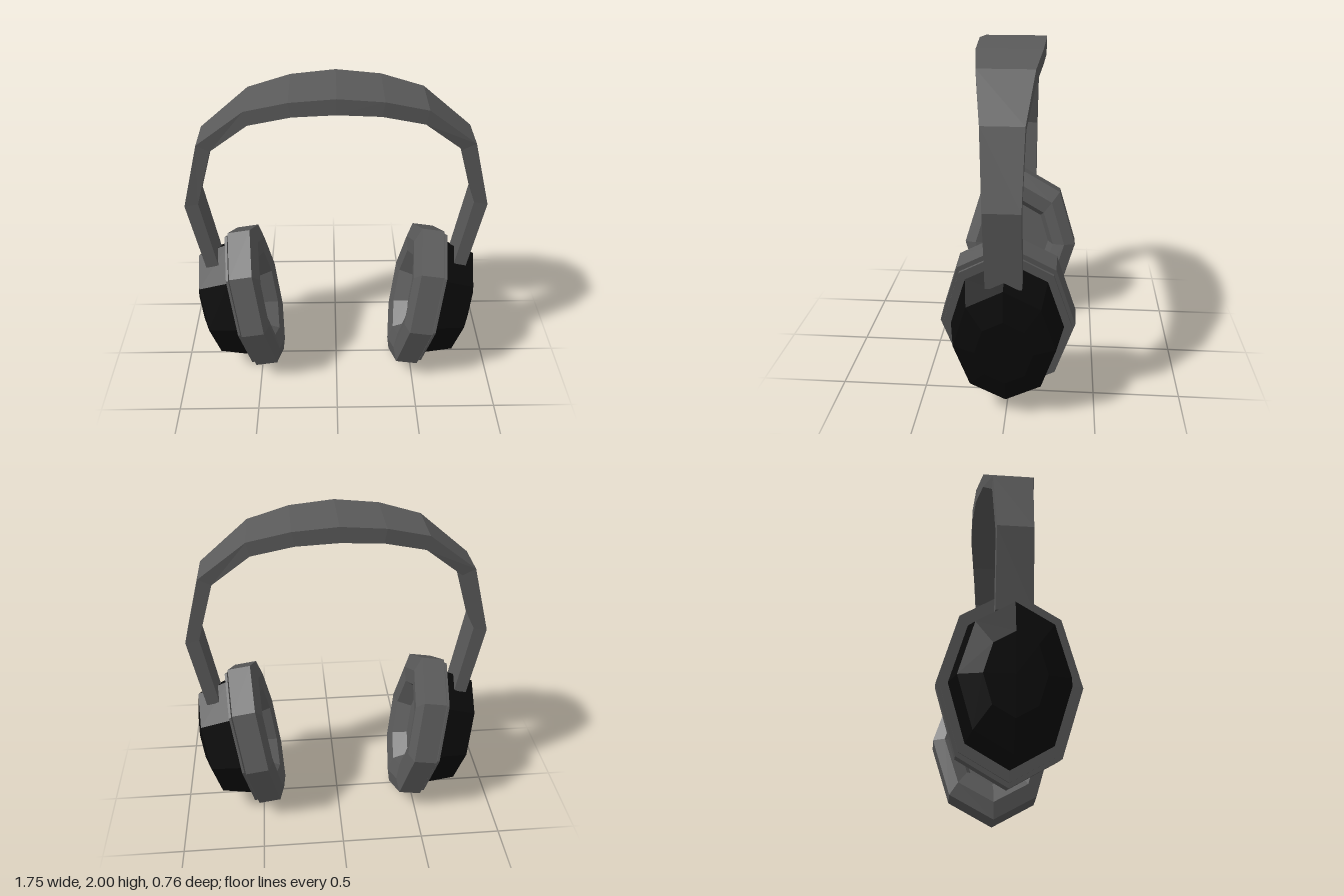
import * as THREE from 'three';

const grey = new THREE.MeshStandardMaterial({ color: 0x5a5a5a, flatShading: true });
const black = new THREE.MeshStandardMaterial({ color: 0x0a0a0a, flatShading: true });

// Eight-sided oval turned around the x axis; profile holds [radius, distance outward]
function ovalPart(name, profile, material) {
  const geometry = new THREE.LatheGeometry(profile.map(([r, d]) => new THREE.Vector2(r, d)), 8);
  geometry.rotateZ(-Math.PI / 2);
  geometry.scale(1, 1, 0.737);
  const mesh = new THREE.Mesh(geometry, material);
  mesh.name = name;
  return mesh;
}

// Ear cup facing outward along +x, tilted inward at the bottom
function earCup(name) {
  const cup = new THREE.Group();
  cup.name = name;
  cup.add(
    ovalPart('cushion', [[0, -0.06], [0.26, -0.06], [0.31, -0.15], [0.415, -0.166],
      [0.515, -0.137], [0.515, 0], [0, 0]], grey),
    ovalPart('backPlate', [[0, 0.011], [0.49, 0.011], [0.49, 0.025], [0, 0.025]], grey),
    ovalPart('shell', [[0, 0], [0.432, 0], [0.432, 0.02], [0.378, 0.218], [0.213, 0.263], [0, 0.263]], black)
  );
  cup.position.set(0.58, 0.512, 0);
  cup.rotation.z = -0.16;
  return cup;
}

// Headband swept through rectangular sections, wider at the crown
function headband() {
  // outer x, outer y, inner x, inner y, front z, back z
  const half = [
    [0, 2, 0, 1.91, 0.2, -0.178],
    [0.25, 1.977, 0.235, 1.895, 0.192, -0.17],
    [0.487, 1.915, 0.47, 1.835, 0.165, -0.142],
    [0.763, 1.692, 0.69, 1.655, 0.118, -0.106],
    [0.875, 1.285, 0.795, 1.3, 0.1, -0.095],
    [0.797, 0.832, 0.722, 0.848, 0.1, -0.095],
  ];
  const mirrored = half.slice(1).reverse().map(([ox, oy, ix, iy, f, b]) => [-ox, oy, -ix, iy, f, b]);
  const sections = [...mirrored, ...half];
  const positions = [];
  const index = [];
  sections.forEach(([ox, oy, ix, iy, f, b], i) => {
    positions.push(ox, oy, f, ox, oy, b, ix, iy, b, ix, iy, f);
    if (i === sections.length - 1) return;
    for (let k = 0; k < 4; k++) {
      const a = i * 4 + k, d = i * 4 + (k + 1) % 4;
      index.push(a, a + 4, d + 4, a, d + 4, d);
    }
  });
  const e = (sections.length - 1) * 4;
  index.push(0, 1, 2, 0, 2, 3, e, e + 2, e + 1, e, e + 3, e + 2);
  const geometry = new THREE.BufferGeometry();
  geometry.setAttribute('position', new THREE.Float32BufferAttribute(positions, 3));
  geometry.setIndex(index);
  geometry.computeVertexNormals();
  const mesh = new THREE.Mesh(geometry, grey);
  mesh.name = 'headband';
  return mesh;
}

export function createModel() {
  const model = new THREE.Group();
  model.name = 'headphones';
  const rightSide = new THREE.Group();
  rightSide.name = 'rightSide';
  rightSide.rotation.y = Math.PI;
  rightSide.add(earCup('rightEarCup'));
  model.add(headband(), earCup('leftEarCup'), rightSide);
  return model;
}
